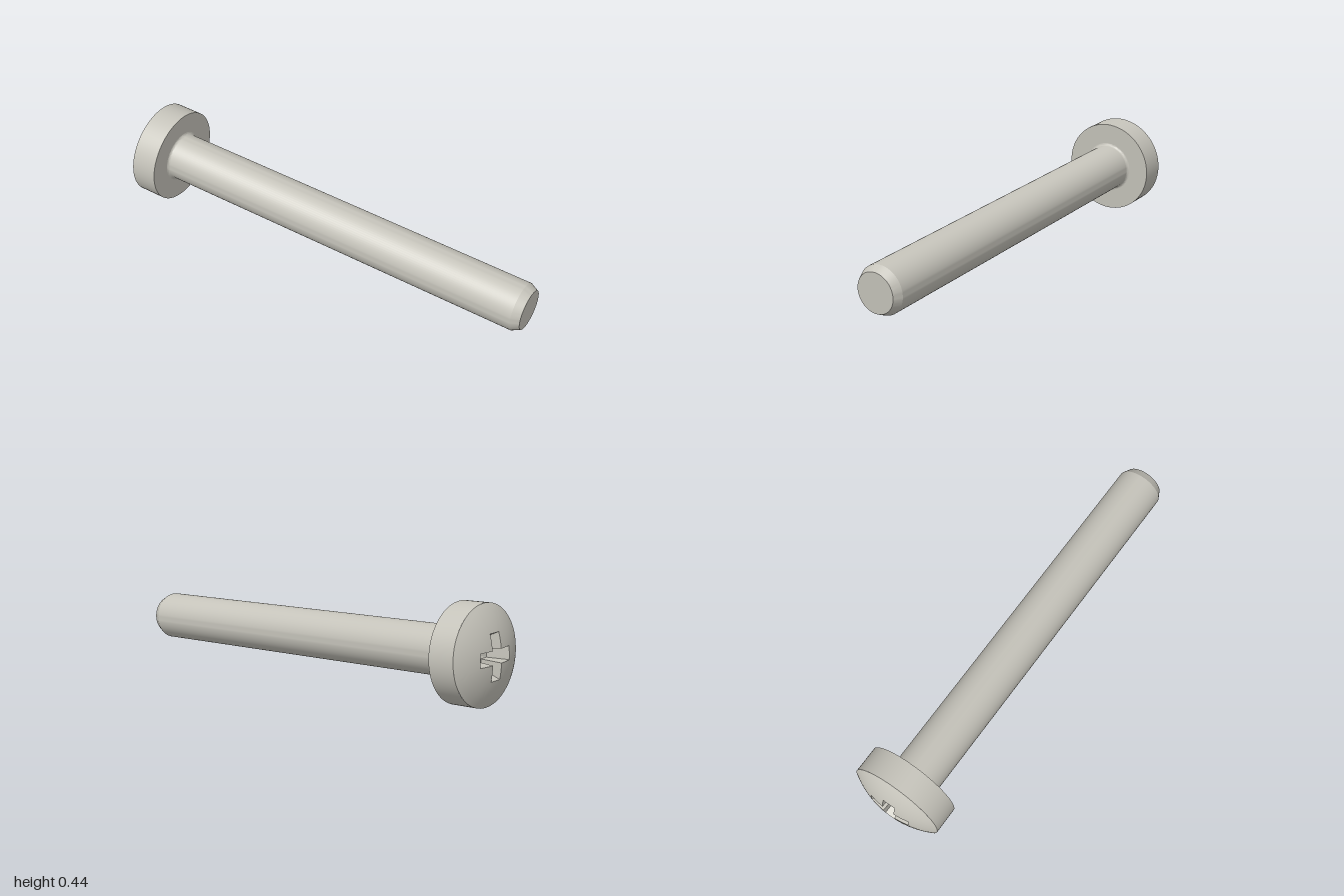
import * as THREE from 'three';
import { toCreasedNormals } from 'three/addons/utils/BufferGeometryUtils.js';

const HEAD_R = 0.219, RIM_Y = 0.123, DOME_H = 0.061;
const SHAFT_R = 0.11, LENGTH = 1.834, FILLET = 0.012;
const DOME_R = (HEAD_R ** 2 + DOME_H ** 2) / (2 * DOME_H);
const CREASE = 0.42;

// height of the domed head at a given distance from the axis
const domeY = (r) => RIM_Y + DOME_H - DOME_R + Math.sqrt(DOME_R ** 2 - r * r);

// outline of a plus shape: half length l, half arm width w
function crossOutline(l, w, steps = 6) {
  const corners = [];
  for (let k = 0; k < 4; k++) {
    const c = Math.round(Math.cos(k * Math.PI / 2)), s = Math.round(Math.sin(k * Math.PI / 2));
    for (const [x, z] of [[l, -w], [l, w], [w, w]]) corners.push([x * c - z * s, x * s + z * c]);
  }
  const out = [];
  corners.forEach(([x, z], i) => {
    const [nx, nz] = corners[(i + 1) % corners.length];
    for (let t = 0; t < steps; t++) out.push([x + (nx - x) * t / steps, z + (nz - z) * t / steps]);
  });
  return out;
}

// skin between closed rings, listed from the axis outward
function loft(rings) {
  const n = rings[0].length, index = [];
  for (let i = 0; i < rings.length - 1; i++) {
    for (let j = 0; j < n; j++) {
      const a = i * n + j, b = i * n + (j + 1) % n;
      index.push(a, b, a + n, b, b + n, a + n);
    }
  }
  const g = new THREE.BufferGeometry();
  g.setAttribute('position', new THREE.Float32BufferAttribute(rings.flat(2), 3));
  g.setIndex(index);
  return toCreasedNormals(g, CREASE);
}

function lathe(points) {
  const g = new THREE.LatheGeometry(points.map(([r, y]) => new THREE.Vector2(r, y)), 72);
  return toCreasedNormals(g, CREASE);
}

export function createModel() {
  const steel = new THREE.MeshStandardMaterial({ color: 0xc6c4bb });
  steel.name = 'paleSteel';
  const group = new THREE.Group();
  group.name = 'machineScrew';
  const screw = new THREE.Group();
  screw.name = 'screw';
  group.add(screw);
  const add = (name, geometry) => {
    const mesh = new THREE.Mesh(geometry, steel);
    mesh.name = name;
    screw.add(mesh);
  };

  // shaft with chamfered tip and a small fillet under the head
  const shaft = [[0, -LENGTH], [0.091, -LENGTH], [SHAFT_R, -LENGTH + 0.038]];
  for (let i = 0; i <= 8; i++) {
    const a = i / 8 * Math.PI / 2;
    shaft.push([SHAFT_R + FILLET * (1 - Math.cos(a)), FILLET * (Math.sin(a) - 1)]);
  }
  add('shaft', lathe(shaft));

  // head underside and rim
  add('headRim', lathe([[SHAFT_R + FILLET, 0], [HEAD_R, 0], [HEAD_R, RIM_Y]]));

  // tapered cross recess
  const mouth = crossOutline(0.1, 0.03);
  const mouthRing = mouth.map(([x, z]) => [x, domeY(Math.hypot(x, z)), z]);
  const floorY = RIM_Y + DOME_H - 0.1;
  const floorRing = crossOutline(0.062, 0.022).map(([x, z]) => [x, floorY, z]);
  add('crossRecess', loft([floorRing.map(() => [0, floorY - 0.01, 0]), floorRing, mouthRing]));

  // domed top around the recess
  const dome = [];
  for (let i = 0; i <= 8; i++) {
    dome.push(mouth.map(([x, z]) => {
      const r0 = Math.hypot(x, z), r = r0 + (HEAD_R - r0) * i / 8;
      return [x / r0 * r, domeY(r), z / r0 * r];
    }));
  }
  add('headDome', loft(dome));

  // lay the screw along its slanted axis, resting on head and tip
  const axis = new THREE.Vector3(-0.9764, 0.0604, -0.2078).normalize();
  const up = new THREE.Vector3(0, 1, 0).addScaledVector(axis, -axis.y).normalize();
  const side = new THREE.Vector3().crossVectors(up, axis);
  screw.quaternion.setFromRotationMatrix(new THREE.Matrix4().makeBasis(up, axis, side));
  screw.position.set(-0.81, 0.219, -0.122);
  return group;
}
